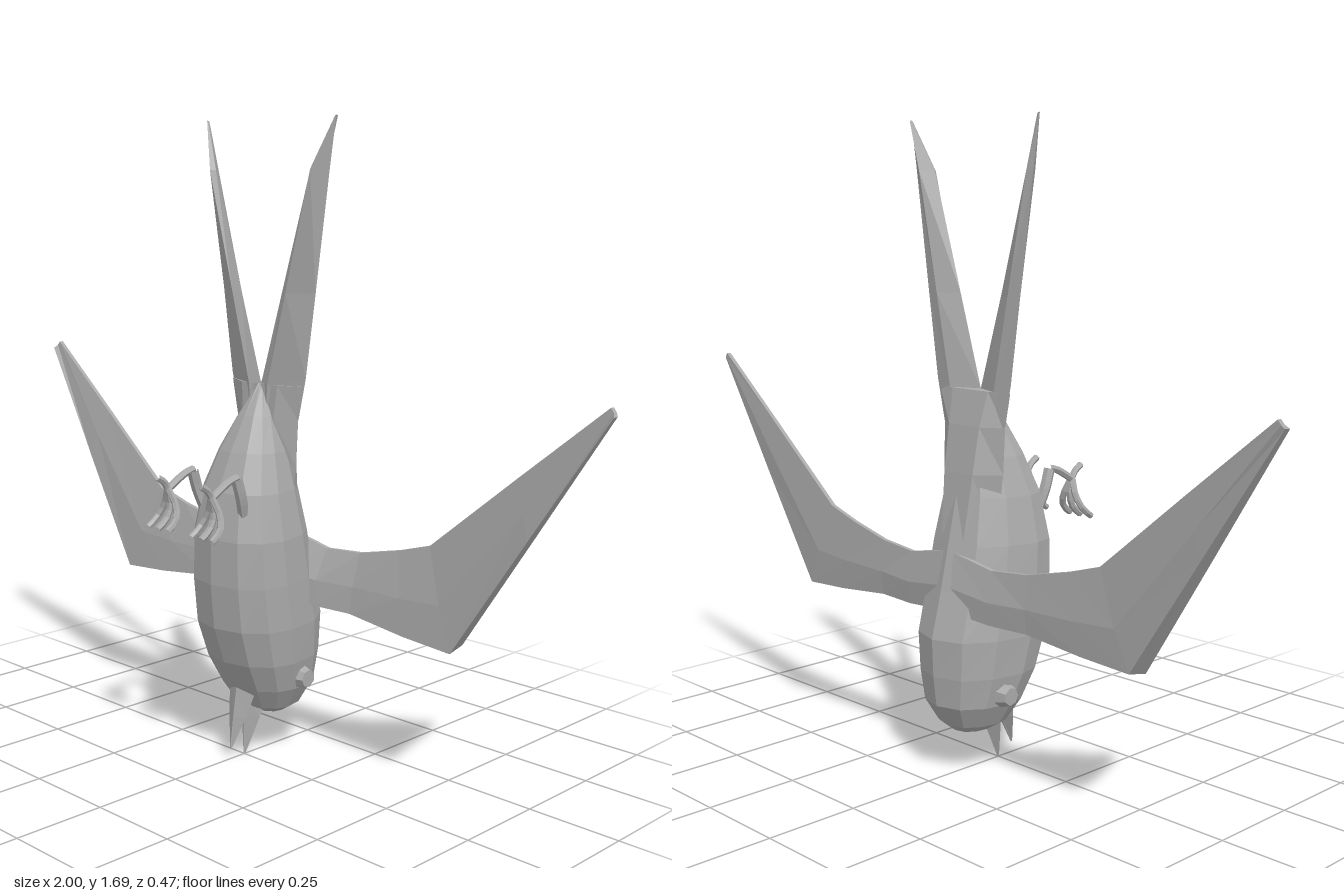
import * as THREE from 'three';

const grey = new THREE.MeshStandardMaterial({ color: 0xaaaaaa });
grey.name = 'grey';

// Gives every face its own flat normal.
function faceted(geo) {
  const g = geo.index ? geo.toNonIndexed() : geo;
  g.computeVertexNormals();
  return g;
}

// Skins a closed, capped surface over rings of [x, y, z] points; side = -1 mirrors it.
function loft(rings, side = 1) {
  const n = rings[0].length, last = rings.length - 1;
  const pts = rings.flat().map(([x, y, z]) => new THREE.Vector3(x * side, y, z));
  const middle = (k) => {
    const c = new THREE.Vector3();
    for (let i = 0; i < n; i++) c.add(pts[k * n + i]);
    return c.divideScalar(n);
  };
  pts.push(middle(0), middle(last));
  const a = pts.length - 2, b = pts.length - 1;
  const faces = [];
  for (let i = 0; i < n; i++) {
    const j = (i + 1) % n;
    for (let k = 0; k < last; k++) {
      const p = k * n + i, q = k * n + j;
      faces.push([p, q, q + n], [p, q + n, p + n]);
    }
    faces.push([a, j, i], [b, last * n + i, last * n + j]);
  }
  // Turn the faces outwards if the enclosed volume is negative.
  let volume = 0;
  for (const [i, j, k] of faces) volume += pts[i].dot(pts[j].clone().cross(pts[k]));
  if (volume < 0) faces.forEach((f) => f.reverse());
  const g = new THREE.BufferGeometry().setFromPoints(pts);
  g.setIndex(faces.flat());
  return faceted(g);
}

function add(parent, name, geo) {
  const m = new THREE.Mesh(geo, grey);
  m.name = name;
  parent.add(m);
  return m;
}

// Thin limb through a few points.
function limb(points, radius) {
  const curve = new THREE.CatmullRomCurve3(points.map((p) => new THREE.Vector3(...p)));
  return faceted(new THREE.TubeGeometry(curve, 6, radius, 6));
}

// Rounded body outline at one height.
function bodyRing([y, w, front, back]) {
  const mid = front * 0.6 + back * 0.4, ring = [];
  for (let i = 0; i < 12; i++) {
    const t = (i / 12) * Math.PI * 2, s = Math.sin(t), c = Math.cos(t);
    const x = Math.sign(s) * Math.abs(s) ** 0.85 * w;
    ring.push([x, y, mid + c * (c > 0 ? front - mid : mid - back)]);
  }
  return ring;
}

// Wing section from its leading to its trailing edge.
function wingRing([lx, ly, tx, ty, zf, zb]) {
  const at = (t, z) => [lx + (tx - lx) * t, ly + (ty - ly) * t, z];
  const edge = zf * 0.25 + zb * 0.75;
  return [at(0, zf), at(0.45, zf - 0.01), at(1, edge + 0.006),
    at(1, edge - 0.006), at(0.45, zb), at(0.04, zb + 0.006)];
}

// Four-sided beak half narrowing to a tip.
function beakRing([y, w, front, back]) {
  const mid = (front + back) / 2;
  return [[0, y, front], [w, y, mid], [0, y, back], [-w, y, mid]];
}

export function createModel() {
  const bird = new THREE.Group();
  bird.name = 'divingBird';

  // Body: head at the bottom, tapering up to the tail
  add(bird, 'body', loft([
    [0.118, 0.05, -0.05, -0.155],
    [0.14, 0.085, -0.01, -0.185],
    [0.2, 0.12, 0.03, -0.222],
    [0.28, 0.14, 0.075, -0.232],
    [0.38, 0.15, 0.11, -0.236],
    [0.5, 0.15, 0.122, -0.205],
    [0.62, 0.145, 0.12, -0.178],
    [0.74, 0.122, 0.095, -0.15],
    [0.84, 0.09, 0.05, -0.13],
    [0.93, 0.05, 0, -0.115],
    [1.01, 0.006, -0.05, -0.1],
  ].map(bodyRing)));

  // Flat rump joining the body to the tail
  add(bird, 'rump', loft([
    [0.62, 0.08, -0.1, -0.165],
    [0.8, 0.105, -0.06, -0.142],
    [0.92, 0.112, -0.05, -0.122],
    [1.01, 0.13, -0.055, -0.1],
  ].map(([y, w, f, b]) => [
    [w, y, -0.085], [w * 0.5, y, f], [-w * 0.5, y, f],
    [-w, y, -0.085], [-w * 0.5, y, b], [w * 0.5, y, b],
  ])));

  // Open beak
  add(bird, 'upperBeak', loft([
    [0.19, 0.05, 0, -0.09],
    [0.11, 0.034, 0.002, -0.05],
    [0.005, 0.003, 0.003, -0.003],
  ].map(beakRing)));
  add(bird, 'lowerBeak', loft([
    [0.2, 0.05, 0.03, -0.02],
    [0.12, 0.032, 0.042, 0.008],
    [0.035, 0.003, 0.053, 0.047],
  ].map(beakRing)));

  for (const side of [1, -1]) {
    const label = side > 0 ? 'left' : 'right';

    // Swept wing
    add(bird, label + 'Wing', loft([
      [0.02, 0.44, 0.02, 0.6, -0.1, -0.195],
      [0.15, 0.43, 0.15, 0.575, -0.105, -0.185],
      [0.27, 0.43, 0.27, 0.585, -0.115, -0.175],
      [0.45, 0.41, 0.4, 0.615, -0.11, -0.172],
      [0.6, 0.4, 0.5, 0.645, -0.108, -0.17],
      [0.8, 0.71, 0.75, 0.85, -0.125, -0.17],
      [1, 1.02, 0.985, 1.04, -0.145, -0.168],
    ].map(wingRing), side));

    // Long tail streamer: outer x, inner x, outer y, inner y
    add(bird, label + 'TailStreamer', loft([
      [0.11, 0, 0.92, 0.92],
      [0.135, 0, 1.03, 1.01],
      [0.167, 0.074, 1.25, 1.25],
      [0.211, 0.17, 1.56, 1.56],
      [0.231, 0.228, 1.69, 1.688],
    ].map(([ox, ix, oy, iy], k) => [
      [ox, oy, -0.088],
      [ix * 0.75 + ox * 0.25, iy, k === 4 ? -0.086 : -0.05],
      [ix, iy, k === 4 ? -0.088 : -0.062],
      [ix * 0.4 + ox * 0.6, iy, -0.095],
    ]), side));

    // Bulging eye
    const eye = add(bird, label + 'Eye',
      faceted(new THREE.CylinderGeometry(0.024, 0.04, 0.05, 7)));
    eye.rotation.z = -side * Math.PI / 2;
    eye.position.set(side * 0.121, 0.23, -0.095);

    // Leg and foot
    const x = side * 0.082;
    const foot = new THREE.Group();
    foot.name = label + 'Leg';
    bird.add(foot);
    add(foot, 'thigh', limb([[x * 0.9, 0.69, 0.075], [x, 0.74, 0.092], [x, 0.79, 0.108]], 0.015));
    add(foot, 'shin', limb([[x, 0.793, 0.105], [x, 0.785, 0.135], [x, 0.752, 0.195]], 0.01));
    for (const spread of [-0.036, 0, 0.036]) {
      add(foot, 'toe', limb([
        [x, 0.757, 0.196],
        [x + spread * 0.6, 0.71, 0.187],
        [x + spread, 0.675, 0.2],
        [x + spread * 1.05, 0.652, 0.23],
      ], 0.009));
    }
    add(foot, 'backToe', limb([
      [x, 0.75, 0.193], [x, 0.772, 0.207], [x, 0.787, 0.23],
    ], 0.009));
  }
  return bird;
}
